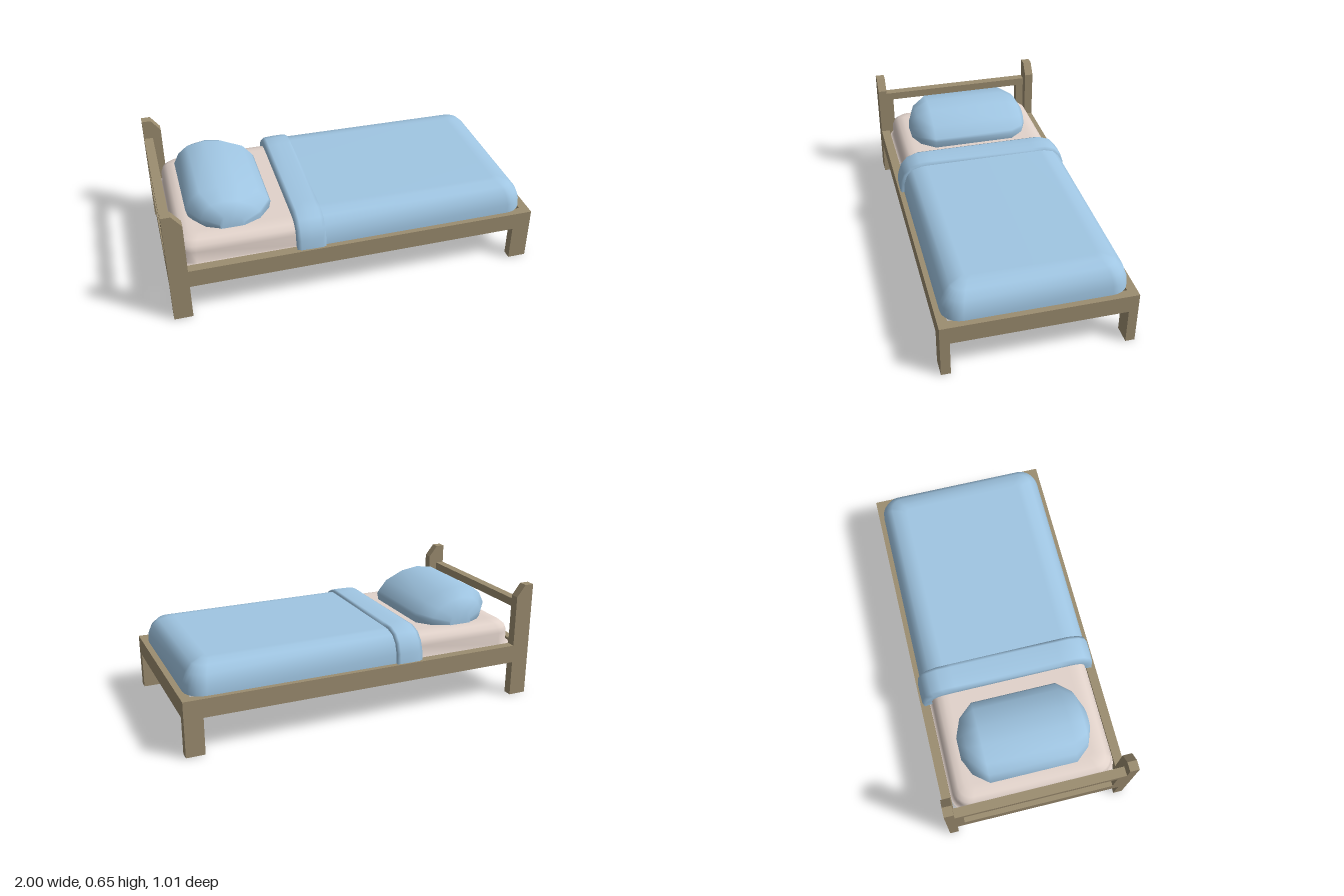
import * as THREE from 'three';

const wood = new THREE.MeshStandardMaterial({ name: 'wood', color: 0x9c8d70 });
const blue = new THREE.MeshStandardMaterial({ name: 'blue bedding', color: 0xa0c6e3, side: THREE.DoubleSide });
const cream = new THREE.MeshStandardMaterial({ name: 'mattress cloth', color: 0xe2d3cb, side: THREE.DoubleSide });

// Smooth skin through rows of equally many [x, y, z] points
function loft(rows, flip = false) {
  const n = rows[0].length, index = [];
  for (let r = 0; r < rows.length - 1; r++) {
    for (let c = 0; c < n - 1; c++) {
      const a = r * n + c, b = a + 1, up = a + n, d = up + 1;
      if (flip) index.push(a, b, up, b, d, up);
      else index.push(a, up, b, b, up, d);
    }
  }
  const g = new THREE.BufferGeometry();
  g.setAttribute('position', new THREE.Float32BufferAttribute(rows.flat(2), 3));
  g.setIndex(index);
  g.computeVertexNormals();
  return g;
}

// Soft cover open at x0 and below, with rounded corners at x1; levels are [inset, y]
function softCover(x0, x1, halfWidth, radius, levels, slope = 0) {
  const dir = Math.sign(x1 - x0);
  const rows = levels.map(([inset, y]) => {
    const r = Math.max(radius - inset * 0.6, 0.03), w = halfWidth - inset, end = x1 - dir * inset;
    const lift = (x) => (y > 0.4 ? y - slope * (x - x0) : y);
    const half = [[x0, y, w]];
    for (let i = 0; i <= 6; i++) {
      const t = (i / 6) * Math.PI / 2;
      const x = end - dir * r * (1 - Math.sin(t));
      half.push([x, lift(x), w - r + r * Math.cos(t)]);
    }
    return [...half.map(([x, yy, z]) => [x, yy, -z]), ...half.reverse()];
  });
  rows.push(rows[rows.length - 1].map(([x, y]) => [x, y, 0])); // close the top
  return loft(rows, dir < 0);
}

export function createModel() {
  const model = new THREE.Group();
  model.name = 'bed';

  const add = (name, geometry, material) => {
    const mesh = new THREE.Mesh(geometry, material);
    mesh.name = name;
    model.add(mesh);
    return mesh;
  };
  const box = (name, x0, x1, y0, y1, z0, z1) =>
    add(name, new THREE.BoxGeometry(x1 - x0, y1 - y0, z1 - z0), wood)
      .position.set((x0 + x1) / 2, (y0 + y1) / 2, (z0 + z1) / 2);

  // Head post outline with a bevelled top
  const post = new THREE.Shape([[-1, 0], [-0.9, 0], [-0.9, 0.585], [-0.95, 0.65], [-1, 0.65]]
    .map(([x, y]) => new THREE.Vector2(x, y)));

  // Posts, legs and side rails, one set per side
  for (const s of [-1, 1]) {
    const side = s > 0 ? 'front' : 'back';
    const z0 = s > 0 ? 0.455 : -0.505, z1 = z0 + 0.05;
    add(side + 'HeadPost', new THREE.ExtrudeGeometry(post, { depth: 0.05, bevelEnabled: false }), wood).position.z = z0;
    box(side + 'FootLeg', 0.9, 1, 0, 0.2, z0, z1);
    box(side + 'SideRail', -0.9, 1, 0.2, 0.3, z0, z1);
    box(side + 'HeadUpright', -1, -0.95, 0.3, 0.495, s > 0 ? 0.41 : -0.455, s > 0 ? 0.455 : -0.41);
  }

  // Cross pieces
  box('footRail', 0.95, 1, 0.2, 0.3, -0.455, 0.455);
  box('headRail', -1, -0.95, 0.2, 0.3, -0.455, 0.455);
  box('headBar', -1, -0.95, 0.495, 0.54, -0.455, 0.455);

  // Mattress and blanket
  add('mattress', softCover(-0.3, -0.933, 0.438, 0.09,
    [[-0.016, 0.288], [0, 0.295], [0, 0.36], [0.01, 0.39], [0.035, 0.412], [0.07, 0.42], [0.1, 0.42]]), cream);
  add('blanket', softCover(-0.18, 0.968, 0.477, 0.1,
    [[0, 0.3], [0.003, 0.35], [0.022, 0.408], [0.058, 0.444], [0.11, 0.459], [0.14, 0.46]], 0.006), blue);

  // Folded edge of the blanket: [x, inset] sections
  const half = [[0.495, 0.3], [0.49, 0.355], [0.472, 0.41], [0.435, 0.452], [0.375, 0.474], [0.3, 0.474]];
  const fold = [[-0.322, 0.06], [-0.326, 0.012], [-0.305, 0.002], [-0.25, 0], [-0.19, 0], [-0.172, 0.005], [-0.172, 0.03]];
  add('blanketFold', loft(fold.map(([x, d]) => {
    const pts = half.map(([z, y]) => [x, y > 0.3 ? y - d * (y - 0.3) / 0.174 : y, z - d]);
    return [...pts.map(([px, y, z]) => [px, y, -z]), ...pts.reverse()];
  }), true), blue);

  // Pillow: one rounded section, shrinking towards both ends
  const section = [[-0.19, 0], [-0.215, 0.03], [-0.225, 0.07], [-0.195, 0.13], [-0.145, 0.17], [-0.045, 0.185],
    [0.055, 0.17], [0.165, 0.12], [0.215, 0.06], [0.225, 0.045], [0.215, 0]];
  const ends = [[0.355, 0.28, 0], [0.352, 0.3, 0.43], [0.315, 0.7, 0.78], [0.235, 1, 1]];
  const rings = [...ends.map(([z, w, h]) => [-z, w, h]), ...[...ends].reverse()];
  add('pillow', loft(rings.map(([z, w, h]) =>
    section.map(([x, y]) => [-0.635 + x * w, 0.416 + y * h, z]))), blue);

  return model;
}
